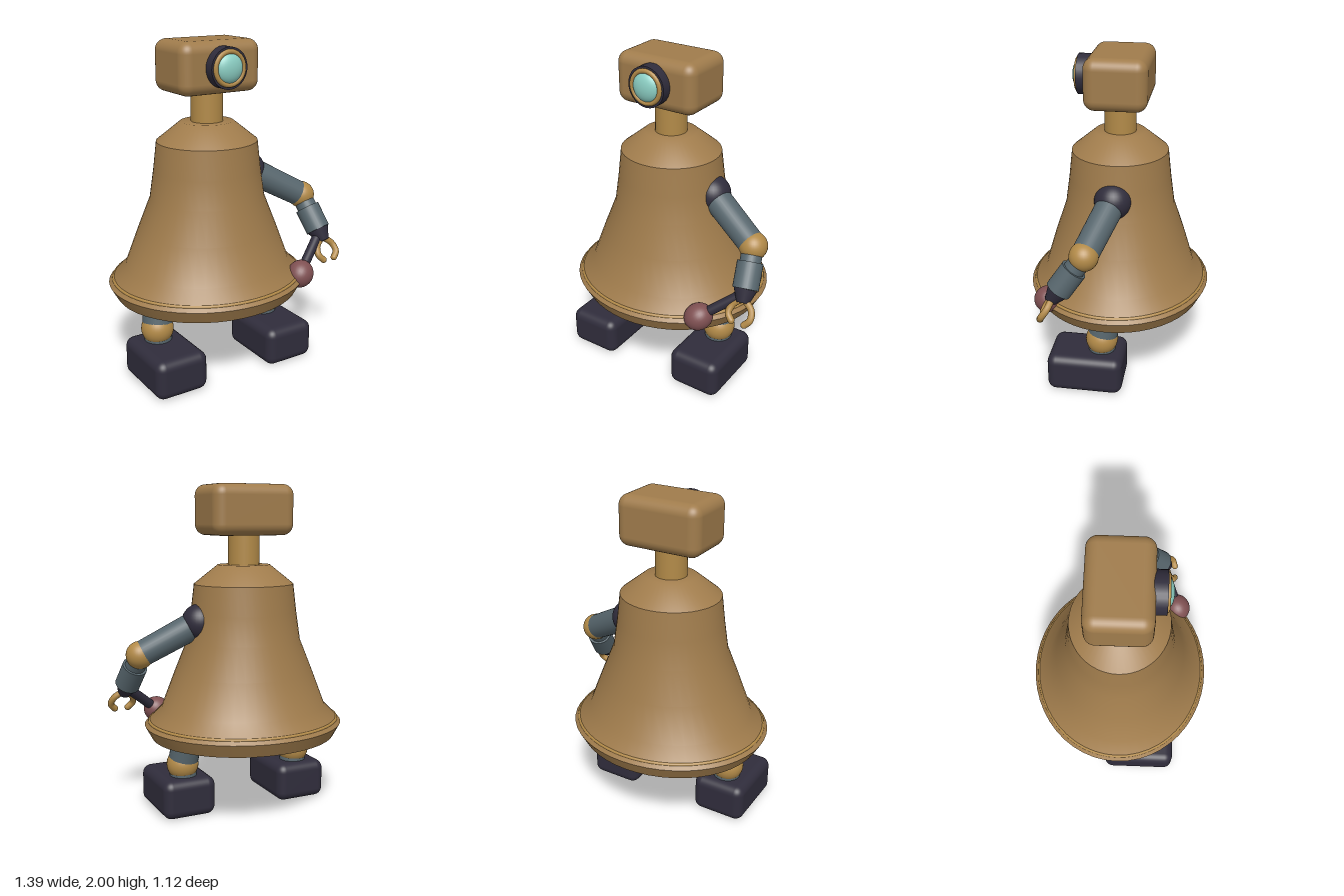
import * as THREE from 'three';
import { toCreasedNormals } from 'three/addons/utils/BufferGeometryUtils.js';
import { RoundedBoxGeometry } from 'three/addons/geometries/RoundedBoxGeometry.js';

const material = (name, color) => Object.assign(new THREE.MeshStandardMaterial({ color }), { name });
const V = (x, y, z) => new THREE.Vector3(x, y, z);
const CX = -0.08; // body axis

export function createModel() {
  const bronze = material('bronze', 0xa07c4c);
  const gold = material('gold', 0xb28a48);
  const slate = material('slate', 0x57666d);
  const dark = material('dark', 0x302d3c);
  const glass = material('glass', 0x8ccfc4);
  const red = material('dull red', 0x7f5052);

  const model = new THREE.Group();
  model.name = 'robot';

  const add = (parent, name, geometry, mat, position = V(0, 0, 0)) => {
    const mesh = new THREE.Mesh(geometry, mat);
    mesh.name = name;
    mesh.position.copy(position);
    parent.add(mesh);
    return mesh;
  };
  const ball = (parent, name, r, mat, p) => add(parent, name, new THREE.SphereGeometry(r, 32, 20), mat, p);
  // Cylinder or cone running from point a to point b
  const rod = (parent, name, a, b, ra, rb, mat) => {
    const dir = b.clone().sub(a);
    const mesh = add(parent, name, new THREE.CylinderGeometry(rb, ra, dir.length(), 28), mat, a.clone().lerp(b, 0.5));
    mesh.quaternion.setFromUnitVectors(V(0, 1, 0), dir.normalize());
    return mesh;
  };

  // Bell body: a lathe made slightly shallower in z toward the skirt
  const profile = [
    [0, 0.475], [0.575, 0.475], [0.62, 0.555], [0.515, 0.66], [0.43, 0.875],
    [0.35, 1.07], [0.325, 1.24], [0.305, 1.41], [0.16, 1.525], [0, 1.525],
  ].map(([r, y]) => new THREE.Vector2(r, y));
  const bell = new THREE.LatheGeometry(profile, 48);
  const pos = bell.attributes.position;
  for (let i = 0; i < pos.count; i++) {
    const flatten = 0.9 + 0.05 * THREE.MathUtils.smoothstep(pos.getY(i), 0.66, 1.07);
    pos.setZ(i, pos.getZ(i) * flatten);
  }
  add(model, 'bellBody', toCreasedNormals(bell, 0.75), bronze, V(CX, 0, 0));
  const trim = add(model, 'skirtTrim', new THREE.TorusGeometry(0.589, 0.011, 8, 64), gold, V(CX, 0.577, 0));
  trim.rotation.x = Math.PI / 2;
  trim.scale.y = 0.9;

  // Neck and head
  rod(model, 'neck', V(CX, 1.5, 0), V(CX, 1.73, 0), 0.095, 0.095, gold);
  add(model, 'head', new RoundedBoxGeometry(0.525, 0.3, 0.365, 5, 0.065), bronze, V(CX, 1.85, 0));

  // Single eye: housing, ring and domed lens
  const eye = new THREE.Group();
  eye.name = 'eye';
  eye.position.set(CX, 1.855, 0);
  model.add(eye);
  rod(eye, 'eyeHousing', V(0, 0, 0.15), V(0, 0, 0.243), 0.118, 0.118, dark);
  add(eye, 'eyeRing', new THREE.TorusGeometry(0.092, 0.014, 10, 40), gold, V(0, 0, 0.243));
  ball(eye, 'lens', 0.086, glass, V(0, 0, 0.235)).scale.z = 0.52;

  // Legs, mirrored about the body axis
  for (const [side, s] of [['left', 1], ['right', -1]]) {
    const leg = new THREE.Group();
    leg.name = side + 'Leg';
    leg.position.x = CX;
    model.add(leg);
    const hip = V(s * 0.355, 0.56, 0.01);
    const knee = V(s * 0.39, 0.31, 0.055);
    ball(leg, 'hip', 0.12, dark, hip);
    rod(leg, 'shin', hip, knee, 0.095, 0.09, slate);
    ball(leg, 'ankle', 0.098, gold, knee);
    rod(leg, 'ankleStem', knee, V(s * 0.385, 0.2, 0.055), 0.08, 0.085, slate);
    add(leg, 'foot', new RoundedBoxGeometry(0.335, 0.24, 0.46, 5, 0.055), dark, V(s * 0.386, 0.12, 0.145));
  }

  // Left arm
  const arm = new THREE.Group();
  arm.name = 'leftArm';
  model.add(arm);
  const shoulder = V(0.21, 1.19, 0);
  const elbow = V(0.553, 0.998, 0.11);
  const wrist = V(0.59, 0.795, 0.25);
  const palm = V(0.6, 0.73, 0.295);
  const along = (t) => elbow.clone().lerp(wrist, t);
  ball(arm, 'shoulder', 0.11, dark, shoulder);
  rod(arm, 'upperArm', shoulder, elbow, 0.084, 0.078, slate);
  ball(arm, 'elbow', 0.084, gold, elbow);
  rod(arm, 'forearm', elbow, wrist, 0.062, 0.062, slate);
  rod(arm, 'cuff', along(0.38), wrist, 0.076, 0.076, slate);
  rod(arm, 'wrist', wrist, palm, 0.068, 0.036, dark);

  // Two curved claw fingers
  for (const s of [-1, 1]) {
    const curve = new THREE.CatmullRomCurve3([
      V(0.6 + s * 0.012, 0.745, 0.285), V(0.602 + s * 0.06, 0.705, 0.305),
      V(0.602 + s * 0.07, 0.66, 0.335), V(0.602 + s * 0.042, 0.628, 0.35),
    ]);
    add(arm, 'finger', new THREE.TubeGeometry(curve, 16, 0.02, 12), gold);
    ball(arm, 'fingertip', 0.02, gold, curve.getPoint(1));
  }

  // Club held in the hand, with an egg-shaped head along the handle
  const bulb = V(0.357, 0.588, 0.375);
  const grip = V(0.58, 0.765, 0.262);
  rod(arm, 'clubHandle', bulb, grip, 0.03, 0.03, dark);
  const head = ball(arm, 'clubHead', 0.08, red, bulb);
  head.scale.y = 1.1;
  head.quaternion.setFromUnitVectors(V(0, 1, 0), grip.clone().sub(bulb).normalize());

  return model;
}
